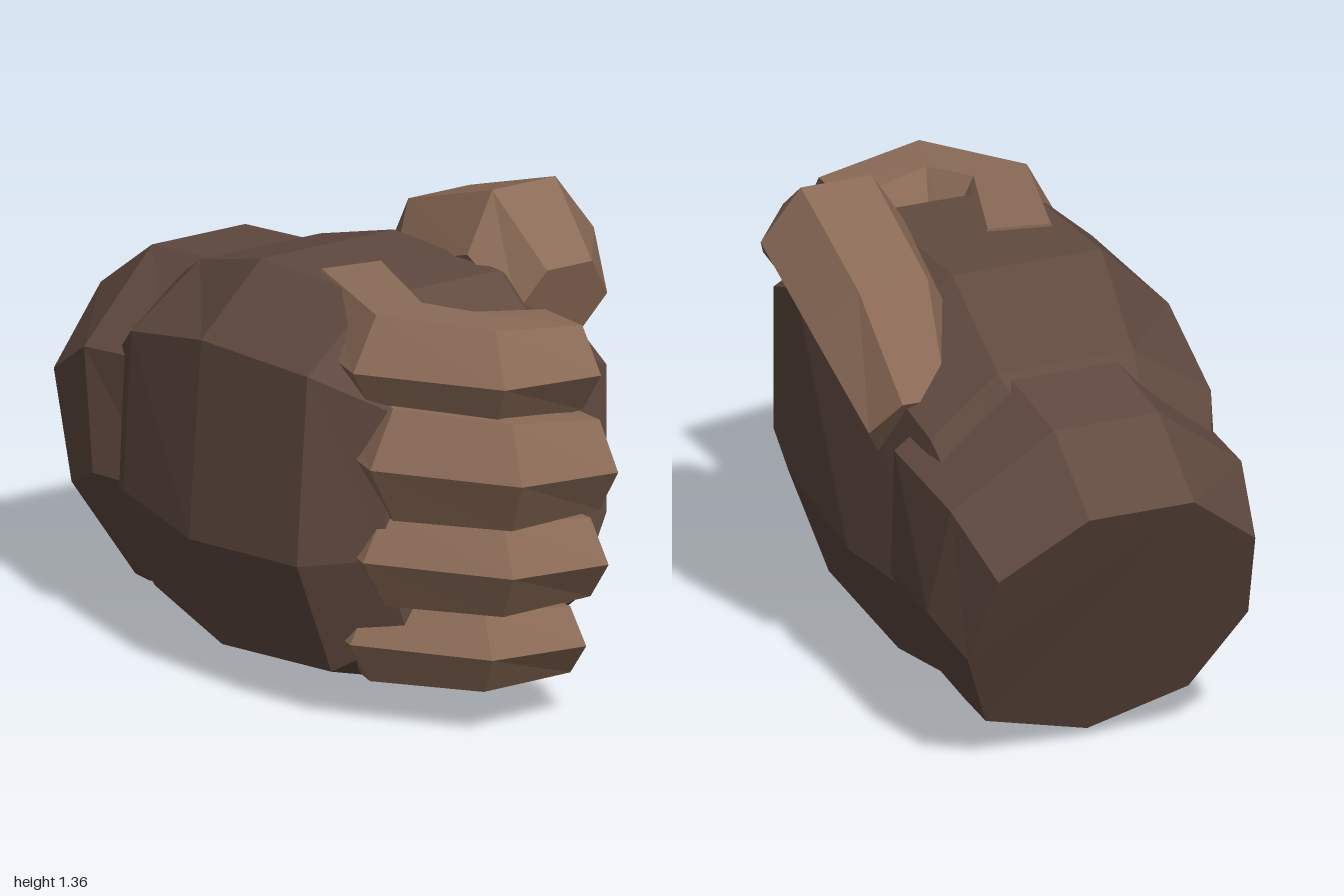
import * as THREE from 'three';

const V = (x, y, z) => new THREE.Vector3(x, y, z);

// Skin a list of equal-sized rings (each an array of points) and close both ends.
function loft(rings) {
  const pos = [];
  const tri = (...pts) => pts.forEach(p => pos.push(p.x, p.y, p.z));
  const n = rings[0].length;
  for (let i = 0; i < rings.length - 1; i++) {
    for (let j = 0; j < n; j++) {
      const k = (j + 1) % n;
      const a = rings[i][j], b = rings[i][k], c = rings[i + 1][k], d = rings[i + 1][j];
      tri(a, b, c);
      tri(a, c, d);
    }
  }
  const first = rings[0], last = rings[rings.length - 1];
  for (let j = 1; j < n - 1; j++) {
    tri(first[0], first[j + 1], first[j]);
    tri(last[0], last[j], last[j + 1]);
  }
  const g = new THREE.BufferGeometry();
  g.setAttribute('position', new THREE.Float32BufferAttribute(pos, 3));
  g.computeVertexNormals();
  return g;
}

// Six-sided ring: corners point sideways, flats face up and down.
function hexRing(center, side, up, width, height) {
  return Array.from({ length: 6 }, (_, k) => {
    const a = -k * Math.PI / 3;
    return center.clone()
      .addScaledVector(side, Math.cos(a) * width)
      .addScaledVector(up, Math.sin(a) / Math.sin(Math.PI / 3) * height);
  });
}

// Nine-sided ring. levels = five [x, y, frontZ, backZ] rows from top to bottom;
// the last row is the single point of the lower ridge.
function nineRing(levels) {
  const front = levels.map(([x, y, f]) => V(x, y, f));
  const back = levels.slice(0, 4).reverse().map(([x, y, , b]) => V(x, y, b));
  return [...front, ...back];
}

export function createModel() {
  const group = new THREE.Group();
  const darkSkin = new THREE.MeshStandardMaterial({ color: 0x614a40, flatShading: true });
  const lightSkin = new THREE.MeshStandardMaterial({ color: 0x8b6b57, flatShading: true });
  darkSkin.name = 'darkSkin';
  lightSkin.name = 'lightSkin';

  const add = (name, rings, material) => {
    const mesh = new THREE.Mesh(loft(rings), material);
    mesh.name = name;
    group.add(mesh);
  };

  // Wrist: slanted cut at the far end, buried in the palm at the other
  add('wrist', [
    [[-1, 0.83, 0.17, -0.14], [-0.91, 0.65, 0.39, -0.37], [-0.77, 0.37, 0.43, -0.4], [-0.64, 0.12, 0.31, -0.29], [-0.595, 0.025, 0.03]],
    [[-0.76, 1, 0.17, -0.14], [-0.69, 0.78, 0.445, -0.415], [-0.6, 0.45, 0.48, -0.445], [-0.52, 0.14, 0.35, -0.3], [-0.48, 0.03, 0.03]],
    [[-0.36, 1.05, 0.17, -0.14], [-0.33, 0.82, 0.43, -0.425], [-0.33, 0.46, 0.45, -0.435], [-0.33, 0.16, 0.33, -0.3], [-0.33, 0.06, 0.03]],
  ].map(nineRing), darkSkin);

  // Palm and back of the hand
  add('palm', [
    [[-0.57, 0.98, 0.2, -0.15], [-0.57, 0.8, 0.41, -0.36], [-0.57, 0.43, 0.44, -0.39], [-0.57, 0.18, 0.34, -0.25], [-0.57, 0.09, 0.08]],
    [[-0.45, 1.05, 0.23, -0.17], [-0.45, 0.89, 0.46, -0.37], [-0.45, 0.44, 0.485, -0.42], [-0.45, 0.15, 0.38, -0.27], [-0.45, 0.06, 0.09]],
    [[-0.05, 1.175, 0.31, -0.13], [-0.05, 0.98, 0.51, -0.385], [-0.05, 0.42, 0.55, -0.44], [-0.05, 0.1, 0.44, -0.29], [-0.05, 0, 0.1]],
    [[0.42, 1.18, 0.28, -0.15], [0.42, 0.995, 0.49, -0.39], [0.42, 0.46, 0.525, -0.41], [0.42, 0.14, 0.41, -0.29], [0.42, 0.05, 0.07]],
    [[0.61, 1.04, 0.22, -0.16], [0.61, 0.92, 0.35, -0.37], [0.61, 0.5, 0.37, -0.37], [0.61, 0.27, 0.29, -0.27], [0.61, 0.2, 0.06]],
  ].map(nineRing), darkSkin);

  // Four curled fingers: [name, middle height, x shift, half width, half height]
  const up = V(0, 1, 0);
  [
    ['indexFinger', 1.035, -0.08, 0.175, 0.15],
    ['middleFinger', 0.78, 0, 0.175, 0.16],
    ['ringFinger', 0.505, -0.04, 0.17, 0.14],
    ['littleFinger', 0.245, -0.125, 0.15, 0.118],
  ].forEach(([name, y, dx, w, h]) => {
    add(name, [
      hexRing(V(0.24 + dx, y, 0.16), V(-0.2, 0, 0.98), up, w, h),
      hexRing(V(0.62 + dx, y - 0.005, 0.27), V(0.1, 0, 0.99), up, w * 0.95, h),
      hexRing(V(0.825 + dx, y - 0.005, 0.13), V(0.95, 0, 0.3), up, w * 1.03, h * 0.95),
      hexRing(V(0.8 + dx, y - 0.03, -0.15), V(1, 0, 0), up, w, h * 0.8),
    ], lightSkin);
  });

  // Thumb: [x, y, z, tilt, half width, half height], from base to tip
  add('thumb', [
    [-0.24, 0.84, -0.33, 0.65, 0.13, 0.13],
    [-0.06, 1.08, -0.345, 0.52, 0.205, 0.16],
    [0.31, 1.2, -0.33, 0.2, 0.21, 0.16],
    [0.5, 1.08, -0.3, -0.3, 0.15, 0.12],
  ].map(([x, y, z, t, w, h]) =>
    hexRing(V(x, y, z), V(0, 0, 1), V(-Math.sin(t), Math.cos(t), 0), w, h)), lightSkin);

  return group;
}
